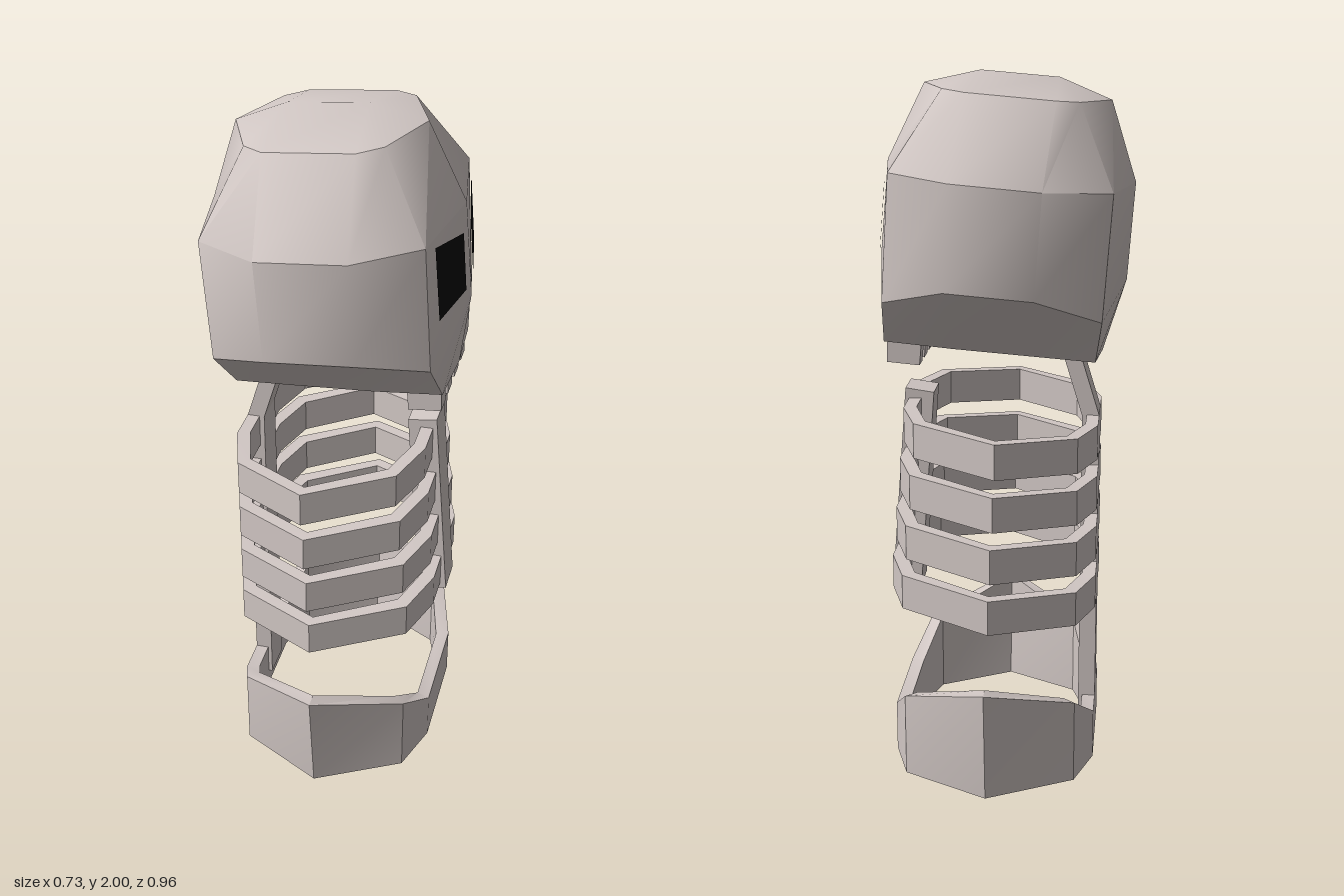
import * as THREE from 'three';
import { toCreasedNormals } from 'three/addons/utils/BufferGeometryUtils.js';

// Completes a ring from its z >= 0 half, listed from +x to -x as [x, y, z]
const mirrorRing = (half) => [
  ...half.map(([x, y, z]) => [x, y, -z]),
  ...half.filter((p) => p[2] > 0).reverse(),
];

// Skins a stack of equal-length rings, skipping collapsed triangles
function loft(rings) {
  const pos = [];
  const v = (p) => new THREE.Vector3(...p);
  const tri = (a, b, c) => {
    const area = new THREE.Triangle(v(a), v(b), v(c)).getArea();
    if (area > 1e-7) pos.push(...a, ...b, ...c);
  };
  for (let i = 0; i < rings.length - 1; i++) {
    const lo = rings[i], hi = rings[i + 1], n = lo.length;
    for (let j = 0; j < n; j++) {
      const k = (j + 1) % n;
      tri(lo[j], lo[k], hi[k]);
      tri(lo[j], hi[k], hi[j]);
    }
  }
  const g = new THREE.BufferGeometry();
  g.setAttribute('position', new THREE.Float32BufferAttribute(pos, 3));
  return toCreasedNormals(g, 0.6);
}

// Hollow band: outer wall, rim, inner wall, underside
function band(bottom, top, cx) {
  const inner = (ring) => ring.map(([x, y, z]) => [cx + (x - cx) * 0.87, y, z * 0.91]);
  return loft([bottom, top, inner(top), inner(bottom), bottom]);
}

// Side profile in x/y, extruded across z
function slab(points, width, z = 0) {
  const shape = new THREE.Shape(points.map(([x, y]) => new THREE.Vector2(x, y)));
  const g = new THREE.ExtrudeGeometry(shape, { depth: width, bevelEnabled: false });
  return g.translate(0, 0, z - width / 2);
}

export function createModel() {
  const group = new THREE.Group();
  const bone = new THREE.MeshStandardMaterial({ color: 0xd2c8c5 });
  bone.name = 'bone';
  const black = new THREE.MeshStandardMaterial({ color: 0x080808, side: THREE.DoubleSide });
  black.name = 'black';
  const add = (name, geometry, material = bone) => {
    const mesh = new THREE.Mesh(geometry, material);
    mesh.name = name;
    group.add(mesh);
  };

  // Skull: tilted ten-sided rings from jaw to crown
  const jaw = mirrorRing([
    [0.335, 1.27, 0], [0.325, 1.268, 0.19], [0.13, 1.25, 0.19],
    [-0.1, 1.23, 0.18], [-0.265, 1.215, 0.17], [-0.28, 1.213, 0],
  ]);
  const cheek = mirrorRing([
    [0.36, 1.48, 0], [0.31, 1.4, 0.3], [0.13, 1.45, 0.41],
    [-0.11, 1.43, 0.41], [-0.285, 1.355, 0.3], [-0.345, 1.42, 0],
  ]);
  const brow = mirrorRing([
    [0.335, 1.753, 0], [0.287, 1.749, 0.3], [0.115, 1.735, 0.41],
    [-0.13, 1.714, 0.41], [-0.31, 1.7, 0.3], [-0.365, 1.695, 0],
  ]);
  const crown = mirrorRing([
    [0.228, 1.966, 0], [0.155, 1.96, 0.187], [0.09, 1.953, 0.232],
    [-0.155, 1.932, 0.232], [-0.215, 1.926, 0.187], [-0.295, 1.92, 0],
  ]);
  const ridge = crown.map(([x]) => {
    const rx = THREE.MathUtils.clamp(x, -0.15, 0.07);
    return [rx, 1.994 + 0.085 * rx, 0];
  });
  const jawCentre = jaw.map(() => [0.03, 1.242, 0]);
  add('skull', loft([jawCentre, jaw, cheek, brow, crown, ridge]));

  // Eye sockets: thin plates following the face
  for (const side of [1, -1]) {
    const corners = [[1.525, 0.25], [1.52, 0.05], [1.685, 0.05], [1.73, 0.25]];
    const pts = corners.map(([y, z]) =>
      [0.342 - 0.165 * z + 0.085 * (1.75 - y), y, z * side]);
    if (side < 0) pts.reverse();
    const eye = new THREE.BufferGeometry();
    eye.setAttribute('position', new THREE.Float32BufferAttribute(pts.flat(), 3));
    eye.setIndex([0, 1, 2, 0, 2, 3]);
    eye.computeVertexNormals();
    add(side > 0 ? 'leftEye' : 'rightEye', eye, black);
  }

  // Teeth
  for (let i = 0; i < 4; i++) {
    const profile = [[0.228, 1.197], [0.32, 1.205], [0.318, 1.275], [0.222, 1.267]];
    add('tooth', slab(profile, 0.057, (i - 1.5) * 0.096));
  }

  // Spine with the neck leaning forward into the skull
  add('spine', slab([
    [-0.275, 0.05], [-0.225, 0.05], [-0.225, 1.03],
    [-0.16, 1.24], [-0.21, 1.24], [-0.275, 1.03],
  ], 0.11));

  // Breastbone
  add('breastbone', slab([[0.25, 0.49], [0.335, 0.505], [0.288, 1.1], [0.205, 1.088]], 0.11));

  // Ribs: four tilted bands, deepening downwards
  for (let i = 0; i < 4; i++) {
    const front = 0.278 + 0.013 * i;
    const cx = (front - 0.275) / 2;
    const base = 0.95 - 0.15 * i;
    const ring = (h) => mirrorRing([
      [front, 0.16], [front - 0.05, 0.31], [cx - 0.01, 0.44], [-0.225, 0.31], [-0.275, 0.16],
    ].map(([x, z]) => [x, base + h + 0.07 * x, z]));
    add('rib', band(ring(0), ring(0.1), cx));
  }

  // Pelvis: a band that rises and flares at both hips
  const hip = [
    [0.315, 0.16, 0.148], [0.265, 0.31, 0.245], [0.02, 0.44, 0.335],
    [-0.225, 0.31, 0.245], [-0.275, 0.16, 0.148],
  ];
  const hipBottom = mirrorRing(hip.map(([x, z]) => [x, 0, z]));
  const hipTop = mirrorRing(hip.map(([x, z, y]) => [x, y, z > 0.4 ? 0.48 : z]));
  add('pelvis', band(hipBottom, hipTop, 0.02));

  return group;
}
